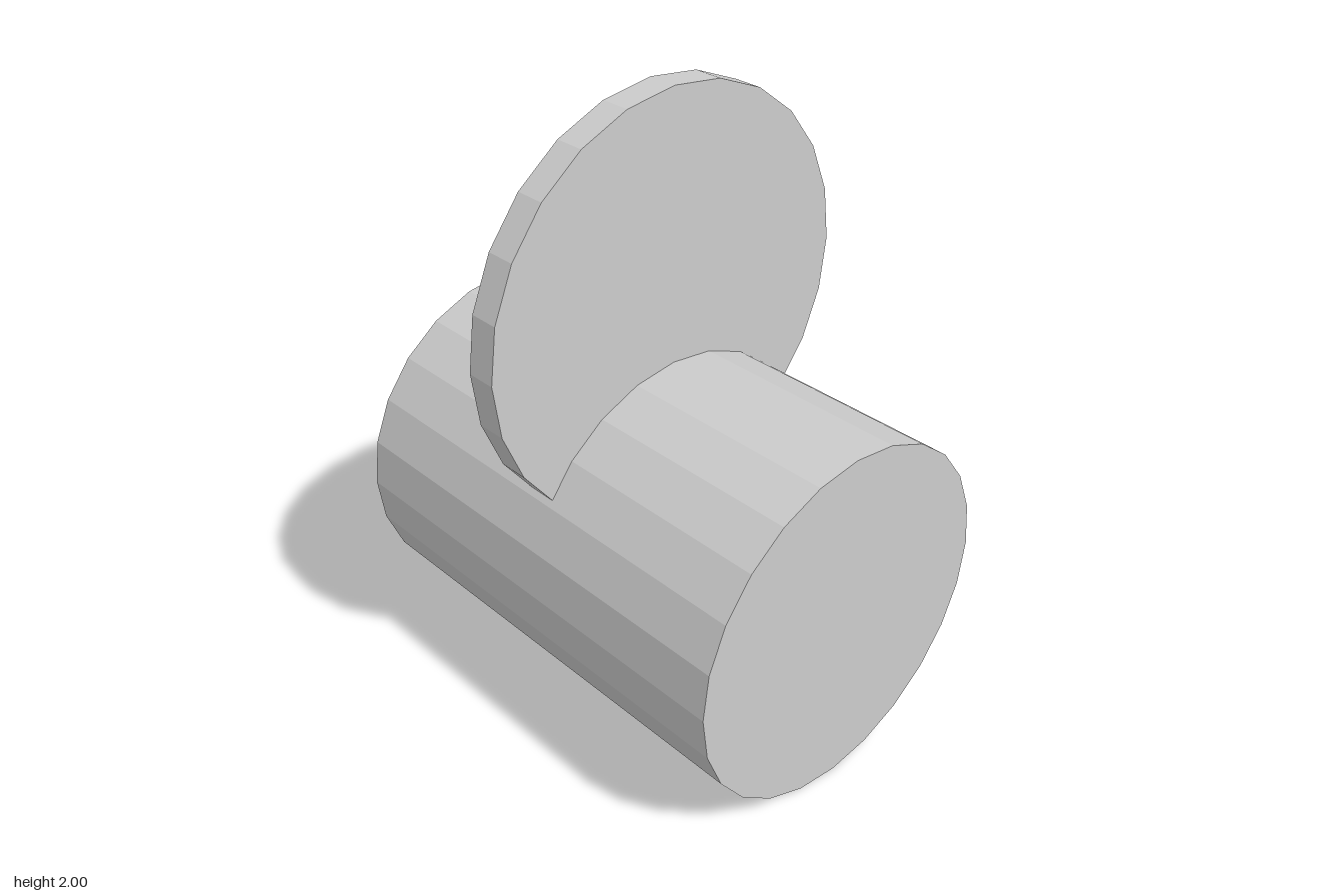
import * as THREE from 'three';

const SIDES = 24;

// Closed, faceted cylinder lying along z
function roundPart(name, radius, length, y, material) {
  const geometry = new THREE.CylinderGeometry(radius, radius, length, SIDES);
  geometry.rotateX(Math.PI / 2);
  const mesh = new THREE.Mesh(geometry, material);
  mesh.name = name;
  mesh.position.y = y;
  return mesh;
}

export function createModel() {
  const model = new THREE.Group();
  model.name = 'drumWithDisc';
  const grey = new THREE.MeshStandardMaterial({ color: 0xcccccc, flatShading: true });

  // Long drum resting on the ground
  model.add(roundPart('drum', 0.5714, 1.524, 0.5714, grey));

  // Thin upright disc sunk into the top of the drum
  model.add(roundPart('disc', 0.6667, 0.0952, 1.3333, grey));

  return model;
}
